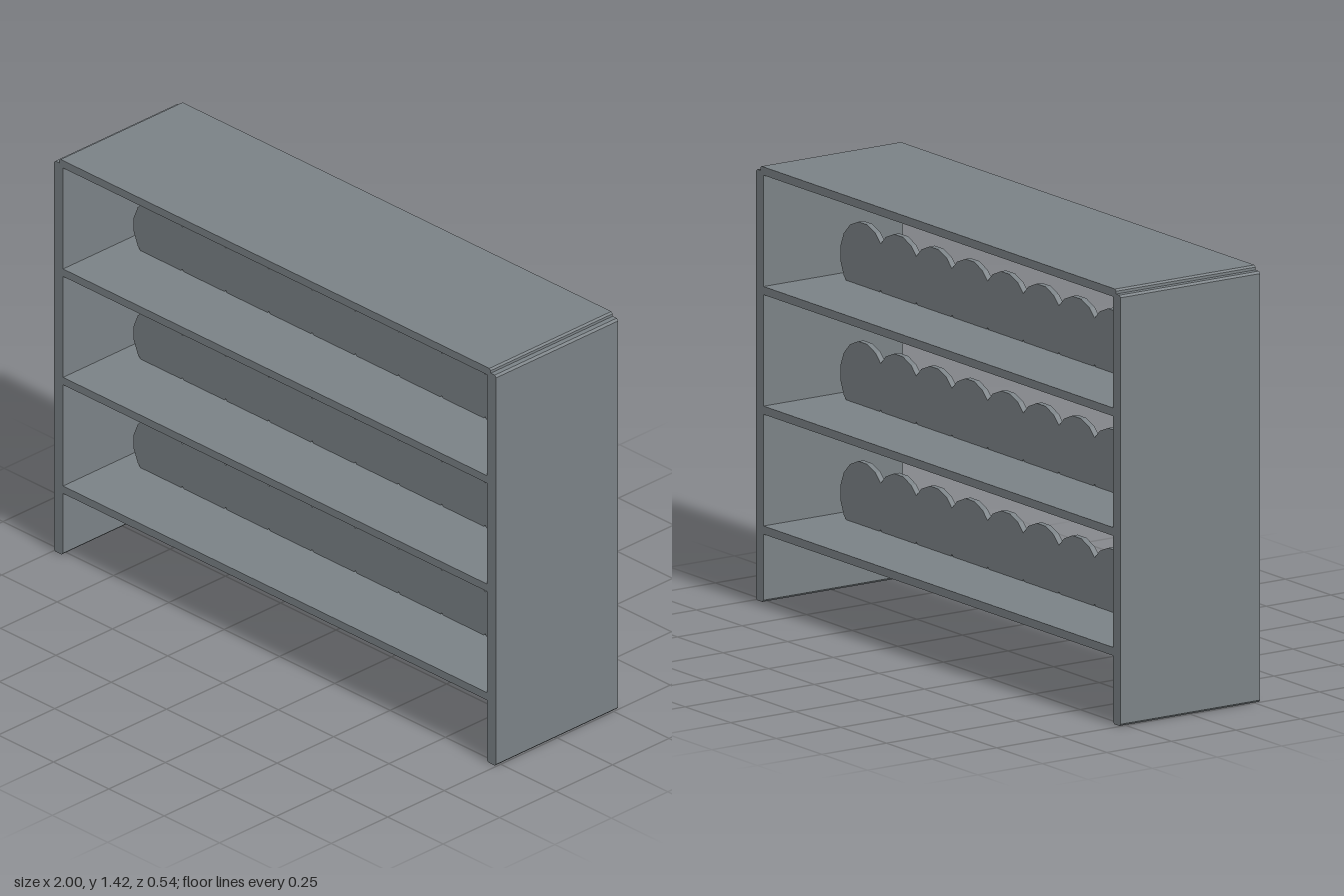
import * as THREE from 'three';

const DEPTH = 0.54;

// Board running along z, with small chamfers on its four long edges
function board(x0, x1, y0, y1, c) {
  const s = new THREE.Shape([
    [x0 + c, y0], [x1 - c, y0], [x1, y0 + c], [x1, y1 - c],
    [x1 - c, y1], [x0 + c, y1], [x0, y1 - c], [x0, y0 + c],
  ].map(([x, y]) => new THREE.Vector2(x, y)));
  const g = new THREE.ExtrudeGeometry(s, { depth: DEPTH, bevelEnabled: false });
  return g.translate(0, 0, -DEPTH / 2);
}

export function createModel() {
  const group = new THREE.Group();
  const grey = new THREE.MeshStandardMaterial({ color: 0x7a8185, flatShading: true });
  grey.name = 'slate grey';

  const add = (name, geometry, parent = group) => {
    const mesh = new THREE.Mesh(geometry, grey);
    mesh.name = name;
    parent.add(mesh);
    return mesh;
  };

  // Frame: two upright sides and the top board
  add('leftSide', board(0.958, 1, 0, 1.405, 0.007));
  add('rightSide', board(-1, -0.958, 0, 1.405, 0.007));
  add('topBoard', board(-0.975, 0.975, 1.393, 1.42, 0.006));

  // Upright round discs, sixteen-sided with a flat edge on top
  const disc = new THREE.CylinderGeometry(0.125, 0.125, 0.02, 16);
  disc.rotateY(Math.PI / 16).rotateX(Math.PI / 2);

  // Three shelves, each with a row of nine overlapping discs sunk through it
  [0.222, 0.613, 1.003].forEach((y, level) => {
    const tier = new THREE.Group();
    tier.name = `tier${level + 1}`;
    group.add(tier);
    add('shelf', board(-0.965, 0.965, y, y + 0.027, 0.003), tier);
    for (let i = -4; i <= 4; i++) {
      add('disc', disc, tier).position.set(i * 0.1955, y + 0.109, 0);
    }
  });

  return group;
}
